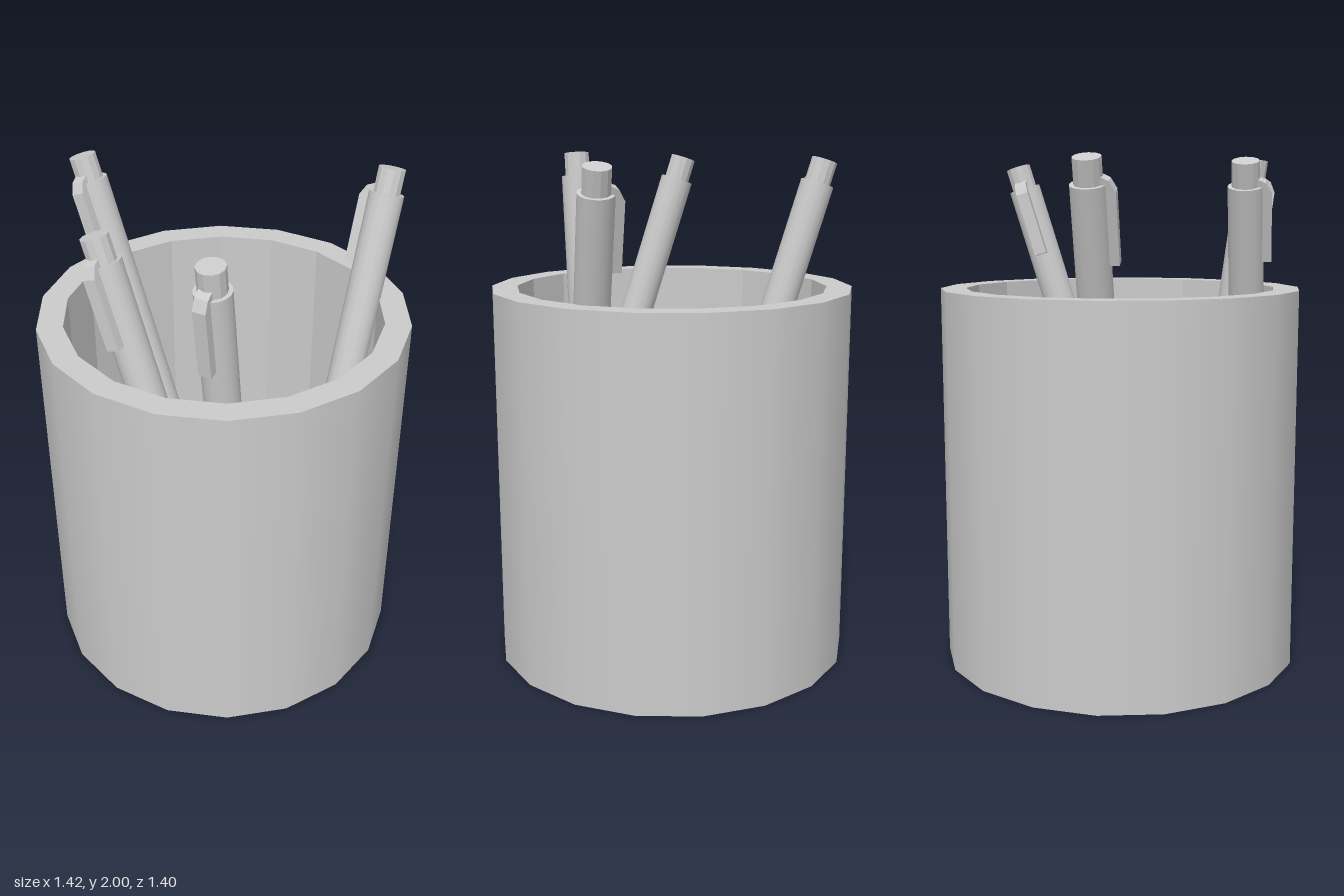
import * as THREE from 'three';

const smooth = new THREE.MeshStandardMaterial({ color: 0xcccccc });
const flat = new THREE.MeshStandardMaterial({ color: 0xcccccc, flatShading: true });

const CUP_R = 0.71, INNER_R = 0.61, CUP_H = 1.49, FLOOR_Y = 0.6;
const PEN_R = 0.067, BUTTON_R = 0.052, BUTTON_H = 0.095;

function addMesh(parent, name, geometry, material) {
  const mesh = new THREE.Mesh(geometry, material);
  mesh.name = name;
  parent.add(mesh);
  return mesh;
}

// One straight piece of the cup profile, turned with 18 sides and a corner on the x axis
function ring(r0, y0, r1, y1) {
  const points = [new THREE.Vector2(r0, y0), new THREE.Vector2(r1, y1)];
  return new THREE.LatheGeometry(points, 18, Math.PI / 2);
}

function makeCup() {
  const cup = new THREE.Group();
  cup.name = 'cup';
  addMesh(cup, 'cupBase', ring(0, 0, CUP_R, 0), flat);
  addMesh(cup, 'cupOuterWall', ring(CUP_R, 0, CUP_R, CUP_H), smooth);
  addMesh(cup, 'cupRim', ring(CUP_R, CUP_H, INNER_R, CUP_H), flat);
  addMesh(cup, 'cupInnerWall', ring(INNER_R, CUP_H, INNER_R, FLOOR_Y), flat);
  addMesh(cup, 'cupFloor', ring(INNER_R, FLOOR_Y, 0, FLOOR_Y), flat);
  return cup;
}

// Clip side profile (distance from the axis, height from the barrel's top), 0.05 wide
function clipGeometry() {
  const shape = new THREE.Shape([
    [0.045, -0.29], [0.097, -0.29], [0.097, -0.025], [0.075, 0.015], [0.045, 0.03],
  ].map(([x, y]) => new THREE.Vector2(x, y)));
  const geometry = new THREE.ExtrudeGeometry(shape, { depth: 0.05, bevelEnabled: false });
  return geometry.translate(0, 0, -0.025);
}

// A pen from its foot to the centre of its button, with the clip turned toward clipDir
function makePen(name, foot, top, clipDir) {
  const a = new THREE.Vector3(...foot), b = new THREE.Vector3(...top);
  const up = b.clone().sub(a);
  const barrelH = up.length() - BUTTON_H;
  up.normalize();
  const out = new THREE.Vector3(...clipDir);
  out.addScaledVector(up, -out.dot(up)).normalize();

  const pen = new THREE.Group();
  pen.name = name;
  const barrel = new THREE.CylinderGeometry(PEN_R, PEN_R, barrelH, 16);
  addMesh(pen, 'barrel', barrel, smooth).position.y = barrelH / 2;
  const button = new THREE.CylinderGeometry(BUTTON_R, BUTTON_R, BUTTON_H, 12);
  addMesh(pen, 'button', button, flat).position.y = barrelH + BUTTON_H / 2;
  addMesh(pen, 'clip', clipGeometry(), flat).position.y = barrelH;

  const basis = new THREE.Matrix4().makeBasis(out, up, out.clone().cross(up));
  pen.quaternion.setFromRotationMatrix(basis);
  pen.position.copy(a);
  return pen;
}

export function createModel() {
  const model = new THREE.Group();
  model.name = 'penCup';
  model.add(makeCup());
  model.add(makePen('rightPen', [-0.19, 0.6, -0.02], [-0.635, 1.972, -0.038], [0, 0, 1]));
  model.add(makePen('frontRightPen', [0.22, 0.6, 0.51], [-0.225, 1.972, 0.49], [0, 0, 1]));
  model.add(makePen('frontLeftPen', [0.24, 0.6, 0.337], [0.24, 1.994, 0.52], [0, 0, 1]));
  model.add(makePen('backLeftPen', [0.39, 0.6, -0.066], [0.44, 1.972, -0.5], [-1, 0, 0]));
  return model;
}
